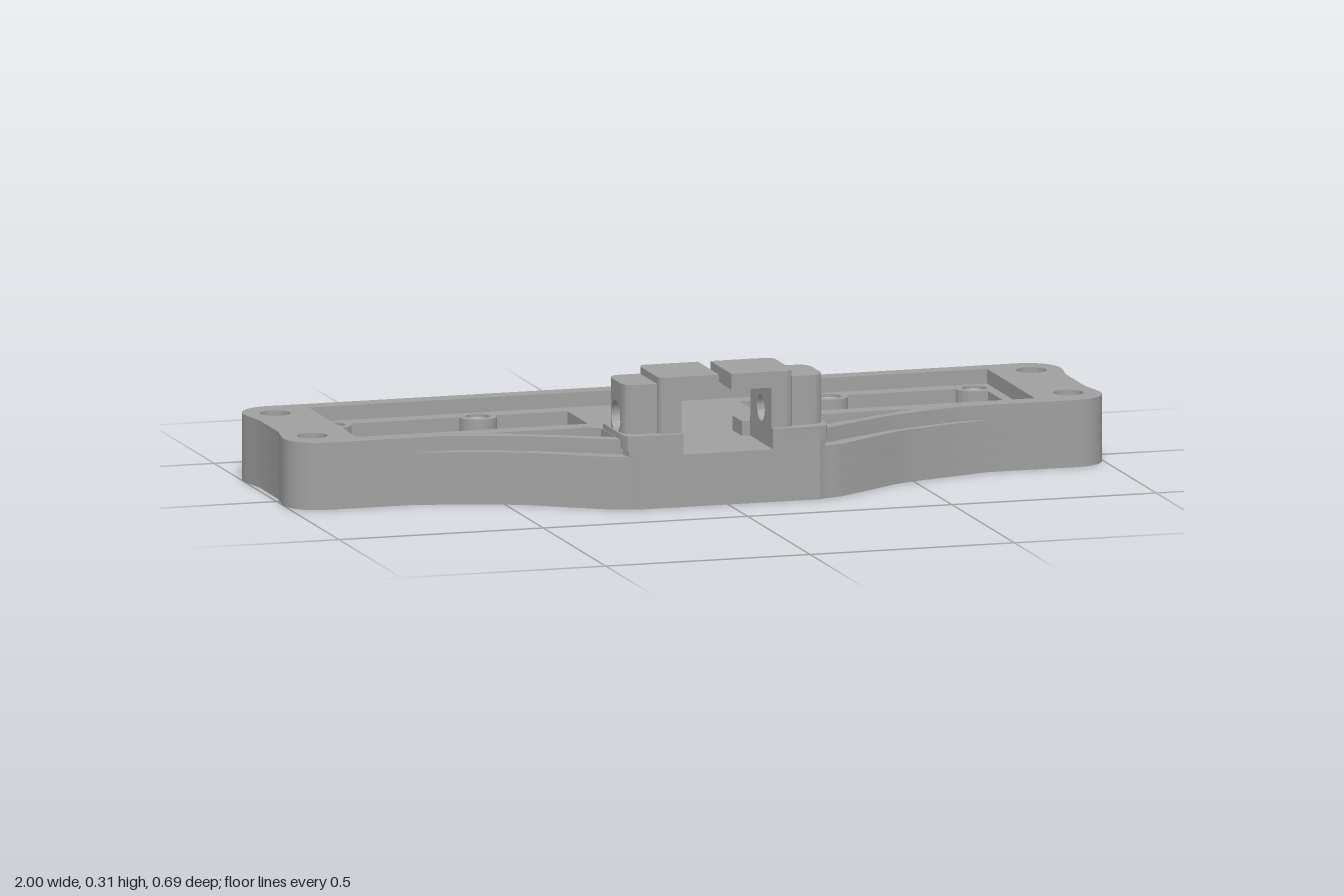
import * as THREE from 'three';
import { toCreasedNormals } from 'three/addons/utils/BufferGeometryUtils.js';

const V = (x, z) => new THREE.Vector2(x, z);
const CLAMP_Z = 0.247;

// Outline points from a list, and the same list mirrored in x
const pts = (list) => list.map(([x, z]) => V(x, z));
const mirror = (points) => points.map((p) => V(-p.x, p.y)).reverse();

function arc(cx, cz, r, a0, a1, n = 10) {
  return Array.from({ length: n + 1 }, (_, i) => {
    const a = a0 + ((a1 - a0) * i) / n;
    return V(cx + r * Math.cos(a), cz + r * Math.sin(a));
  });
}
const circle = (x, z, r) => new THREE.Path(arc(x, z, r, 0, Math.PI * 2, 28).slice(0, -1));

// Horizontal slab of a plan shape (x, z) between two heights
function slab(points, holes, y0, y1) {
  const shape = new THREE.Shape(points);
  shape.holes = holes;
  const g = new THREE.ExtrudeGeometry(shape, { depth: y1 - y0, bevelEnabled: false });
  g.rotateX(Math.PI / 2).translate(0, y1, 0);
  return toCreasedNormals(g, 0.5);
}

// Upright block with a bore along x and rounded vertical edges at its outer end
function boredBlock(x0, x1, half, y0, y1, bore, r) {
  const shape = new THREE.Shape(pts([[-half, y0], [half, y0], [half, y1], [-half, y1]]));
  if (bore) shape.holes.push(circle(0, 0.207, bore));
  const g = new THREE.ExtrudeGeometry(shape, { depth: x1 - x0, steps: 16, bevelEnabled: false });
  g.rotateY(Math.PI / 2).translate(x0, 0, 0);
  const p = g.attributes.position;
  for (let i = 0; i < p.count; i++) {
    const t = Math.min(r, p.getX(i) - (x1 - r));
    const z = p.getZ(i);
    if (t > 0 && Math.abs(z) > half - 1e-4) {
      p.setZ(i, Math.sign(z) * (half - r + Math.sqrt(Math.max(0, r * r - t * t))));
    }
  }
  return toCreasedNormals(g, 0.6);
}

// Pocket on the +x side, stepping round the screw bosses
function pocketPoints() {
  const s = new THREE.Path();
  const P = Math.PI;
  s.moveTo(0.21, -0.255);
  s.lineTo(0.385, -0.255);
  s.absarc(0.43, -0.255, 0.045, P, 0, true);
  s.absarc(0.785, -0.255, 0.045, P, P / 2, true);
  s.lineTo(0.805, -0.21);
  s.lineTo(0.805, -0.005);
  s.absarc(0.785, 0.04, 0.045, -P / 2, -P, true);
  s.absarc(0.43, 0.04, 0.045, 0, -P, true);
  s.lineTo(0.21, 0.04);
  return s.getPoints(10);
}

export function createModel() {
  const group = new THREE.Group();
  const grey = new THREE.MeshStandardMaterial({ color: 0xa0a0a0, side: THREE.DoubleSide });
  grey.name = 'grey plastic';
  const add = (name, geometry, parent = group) => {
    const m = new THREE.Mesh(geometry, grey);
    m.name = name;
    parent.add(m);
    return m;
  };

  // Plate end with rounded ears and a shallow waist, front to back
  const end = [
    ...arc(0.92, 0.055, 0.08, Math.PI / 2, 0),
    ...pts([[0.998, 0.03], [0.992, 0], [0.987, -0.03], [0.987, -0.18], [0.992, -0.21], [0.998, -0.24]]),
    ...arc(0.92, -0.265, 0.08, 0, -Math.PI / 2),
  ];
  const lowerHalf = [
    ...pts([[0.225, 0.345], [0.24, 0.335], [0.265, 0.33], [0.285, 0.324], [0.45, 0.215],
      [0.5, 0.194], [0.57, 0.173], [0.7, 0.135]]),
    ...end,
  ];
  const upperHalf = [
    ...pts([[0.11, 0.345], [0.225, 0.345], [0.24, 0.335], [0.245, 0.303], [0.44, 0.195],
      [0.5, 0.175], [0.63, 0.135]]),
    ...end,
  ];
  const lower = [...lowerHalf, ...mirror(lowerHalf)];
  // Wall ring open at the front channel, wrapping round the tray
  const trayHalf = pts([[0.83, -0.3], [0.83, 0.085], [0.09, 0.085], [0.09, 0.16], [0.11, 0.16]]);
  const upper = [...upperHalf, ...mirror(upperHalf), ...mirror(trayHalf), ...trayHalf];

  // Hole positions
  const corners = [], bosses = [];
  for (const s of [-1, 1]) for (const z of [-0.255, 0.04]) {
    corners.push([s * 0.925, z]);
    bosses.push([s * 0.43, z], [s * 0.785, z]);
  }
  const both = (p) => [new THREE.Path(p), new THREE.Path(mirror(p))];
  const wingPockets = () => both(pts([[0.52, 0.13], [0.28, 0.13], [0.252, 0.15], [0.252, 0.262]]));
  const cornerHoles = () => corners.map(([x, z]) => circle(x, z, 0.036));
  const undersideHoles = [-1, 1].flatMap((s) => [
    circle(s * 0.165, 0.24, 0.037), circle(s * 0.14, 0.145, 0.024), circle(s * 0.152, 0.092, 0.024),
  ]);

  // Plate in layers: underside, pocket floor, tray floor, rim
  add('underside', slab(lower, undersideHoles, 0, 0.03));
  add('pocketFloor', slab(lower, [], 0.03, 0.07));
  add('trayFloor', slab(lower, [
    ...both(pocketPoints()), ...wingPockets(), ...cornerHoles(),
    ...bosses.map(([x, z]) => circle(x, z, 0.029)),
  ], 0.07, 0.125));
  add('rim', slab(upper, [...cornerHoles(), ...wingPockets()], 0.125, 0.16));

  // Conical bottoms of the screw holes
  const drill = (name, x, z, r, top) => {
    const g = new THREE.ConeGeometry(r, 0.04, 28, 1, true);
    g.rotateX(Math.PI).translate(x, top - 0.02, z);
    add(name, g);
  };
  corners.forEach(([x, z]) => drill('cornerScrewHole', x, z, 0.036, 0.13));
  bosses.forEach(([x, z]) => drill('bossScrewHole', x, z, 0.029, 0.118));

  // Clamp: a lip, a bored wall, a bored lug and a roof jaw on each side
  for (const s of [1, -1]) {
    const side = new THREE.Group();
    side.name = s > 0 ? 'leftClamp' : 'rightClamp';
    side.position.z = CLAMP_Z;
    if (s < 0) side.rotation.y = Math.PI;
    group.add(side);
    add('clampWall', boredBlock(0.11, 0.165, 0.085, 0.165, 0.308, 0.031, 0.02), side);
    add('clampLug', boredBlock(0.165, 0.245, 0.068, 0.165, 0.291, 0.037, 0.03), side);
    const inner = s > 0 ? 0.012 : 0.018;
    const jaw = new THREE.BoxGeometry(0.11 - inner, 0.038, 0.17);
    add('clampJaw', jaw.translate((0.11 + inner) / 2, 0.289, 0), side);

    const lip = pts([[0.11, 0.16], [0.25, 0.16], [0.25, 0.32], [0.243, 0.337], [0.225, 0.345], [0.11, 0.345]]);
    add('clampBase', slab(s > 0 ? lip : mirror(lip), [], 0.14, 0.174));
  }
  return group;
}
